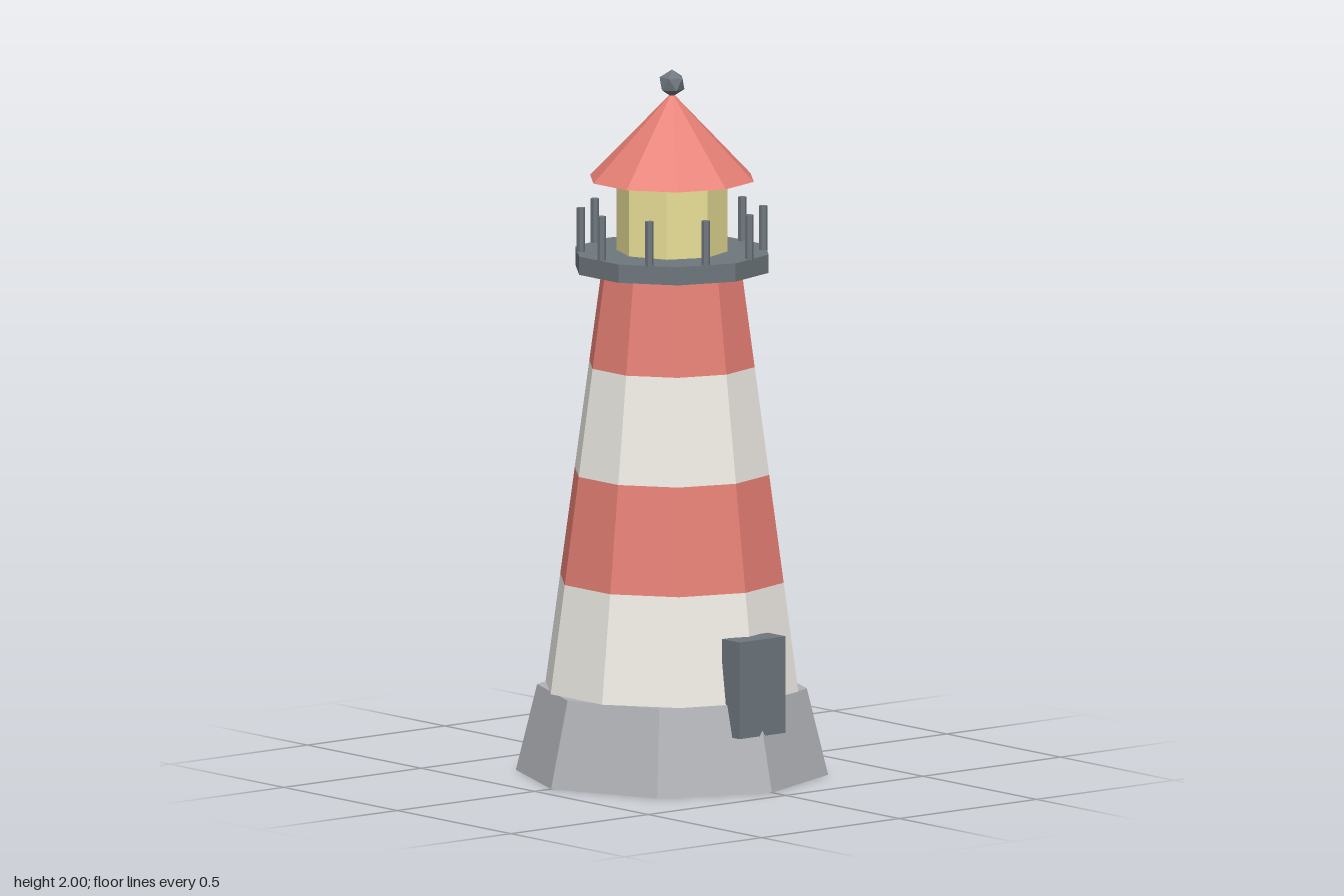
import * as THREE from 'three';

const mat = (color) => new THREE.MeshStandardMaterial({ color, flatShading: true });

export function createModel() {
  const group = new THREE.Group();
  group.name = 'lighthouse';
  const stone = mat(0xb0b2b7), white = mat(0xf0ede6), red = mat(0xe67f75);
  const iron = mat(0x6e777d), glass = mat(0xeae097);

  const add = (name, geometry, material, parent = group) => {
    const mesh = new THREE.Mesh(geometry, material);
    mesh.name = name;
    parent.add(mesh);
    return mesh;
  };
  // Faceted frustum between heights y0 and y1, with a corner facing +z
  const frustum = (r0, r1, y0, y1, sides, open = false) =>
    new THREE.CylinderGeometry(r1, r0, y1 - y0, sides, 1, open).translate(0, (y0 + y1) / 2, 0);

  // Stone base
  add('base', frustum(0.44, 0.38, 0, 0.245, 8), stone);

  // Tapering tower in alternating bands
  const tower = new THREE.Group();
  tower.name = 'tower';
  group.add(tower);
  const levels = [0.245, 0.553, 0.858, 1.163, 1.435];
  const radius = (y) => THREE.MathUtils.mapLinear(y, 0.245, 1.435, 0.366, 0.202);
  for (let i = 0; i < levels.length - 1; i++) {
    const [y0, y1] = [levels[i], levels[i + 1]];
    add('towerBand', frustum(radius(y0), radius(y1), y0, y1, 10, true), i % 2 ? red : white, tower);
  }
  const underside = new THREE.CircleGeometry(radius(0.245), 10, Math.PI / 2);
  add('towerUnderside', underside.rotateX(Math.PI / 2).translate(0, 0.245, 0), white, tower);

  // Door block, partly sunk into the tower and base
  add('door', new THREE.BoxGeometry(0.168, 0.275, 0.076).translate(0, 0.293, 0.36), iron);

  // Gallery deck and its ring of posts
  add('gallery', frustum(0.28, 0.28, 1.433, 1.485, 10), iron);
  const railing = new THREE.Group();
  railing.name = 'railing';
  group.add(railing);
  const postGeometry = frustum(0.012, 0.012, 1.48, 1.61, 6);
  for (let i = 0; i < 10; i++) {
    const a = (i / 10) * Math.PI * 2;
    add('post', postGeometry, iron, railing).position.set(0.256 * Math.cos(a), 0, 0.256 * Math.sin(a));
  }

  // Lantern room, roof and finial
  add('lanternRoom', frustum(0.157, 0.157, 1.485, 1.69, 8), glass);
  add('roof', new THREE.ConeGeometry(0.237, 0.245, 10).translate(0, 1.8125, 0), red);
  // Turn the icosahedron so one corner points straight up
  const ball = new THREE.IcosahedronGeometry(0.039).rotateZ(-Math.atan(2 / (1 + Math.sqrt(5))));
  add('finial', ball.translate(0, 1.961, 0), iron);

  return group;
}
